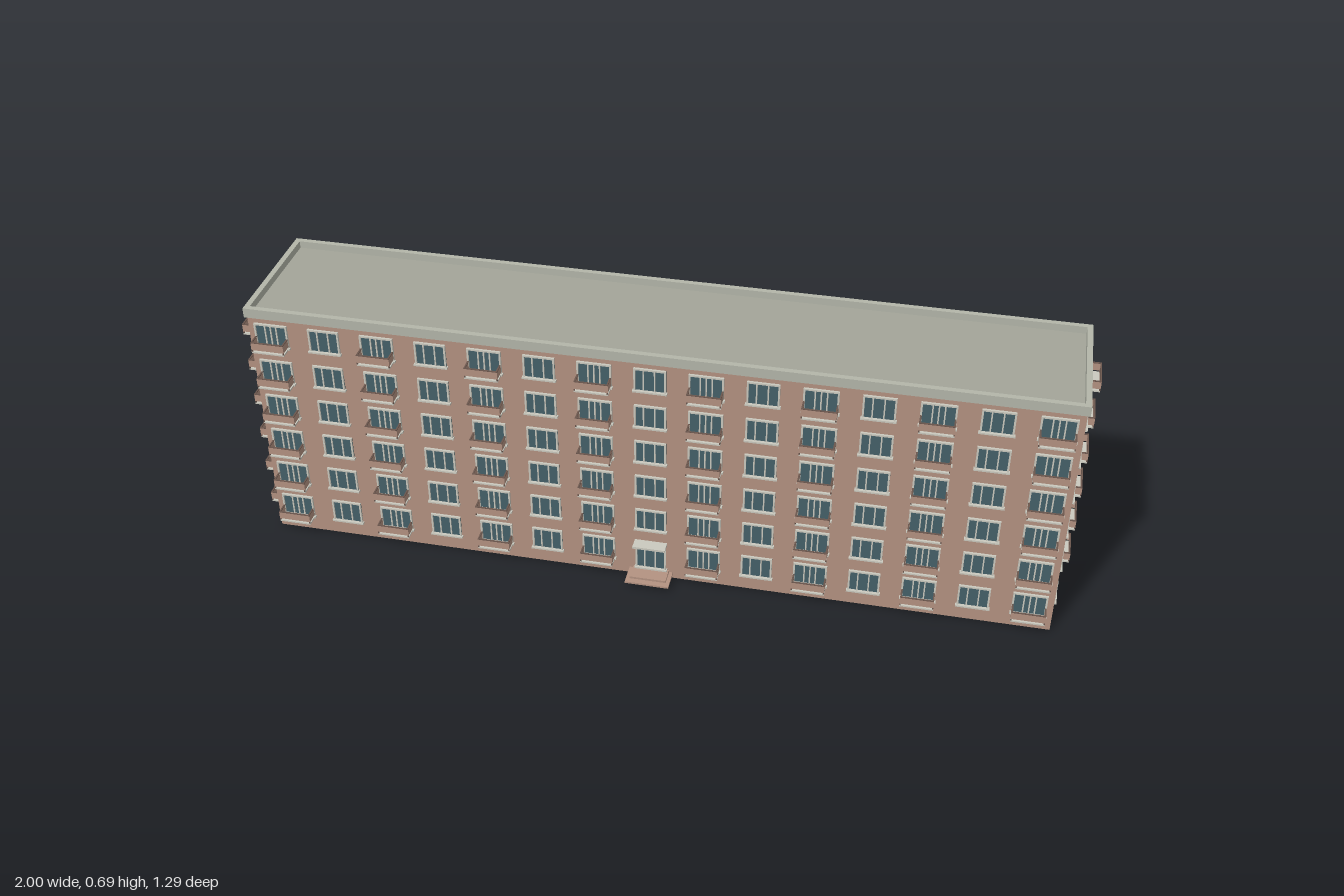
import * as THREE from 'three';
import { mergeGeometries } from 'three/addons/utils/BufferGeometryUtils.js';

const material = (name, color, side = THREE.FrontSide) => {
  const m = new THREE.MeshStandardMaterial({ color, side });
  m.name = name;
  return m;
};

// Main dimensions
const LENGTH = 2.05, DEPTH = 0.345, WALL_TOP = 0.667, TOP = 0.69;
const FLOORS = 6, STOREY = 0.1077, SILL = 0.043, PITCH = 0.138;
const WIN_W = 0.08, WIN_H = 0.067;

const box = (w, h, d, x = 0, y = 0, z = 0) =>
  new THREE.BoxGeometry(w, h, d).translate(x, y, z);

// Frame with mullions, resting on y = 0 with its back on z = 0
function frameGeometry(w, h, mullions) {
  const t = 0.0045, d = 0.006, z = d / 2;
  const parts = [
    box(w, t, d, 0, h - t / 2, z),
    box(w + 0.006, t, 0.01, 0, t / 2, 0.005),
    box(t, h, d, -w / 2 + t / 2, h / 2, z),
    box(t, h, d, w / 2 - t / 2, h / 2, z),
  ];
  for (const m of mullions) parts.push(box(0.0035, h, 0.005, m * w, h / 2, 0.0025));
  return mergeGeometries(parts);
}

export function createModel() {
  const brick = material('brick', 0xb39281, THREE.DoubleSide);
  const parapetGrey = material('parapet grey', 0xb3b6a9);
  const roofGrey = material('roof grey', 0xa3a499);
  const frameWhite = material('frame off-white', 0xcac9be, THREE.DoubleSide);
  const glassTeal = material('glass teal', 0x456069);
  const darkBrown = material('dark brown', 0x6b564d);

  const model = new THREE.Group();
  model.name = 'apartmentBlock';
  const building = new THREE.Group();
  building.name = 'building';
  building.rotation.y = THREE.MathUtils.degToRad(27);
  model.add(building);

  const add = (parent, name, geometry, mat, x = 0, y = 0, z = 0) => {
    const mesh = new THREE.Mesh(geometry, mat);
    mesh.name = name;
    mesh.position.set(x, y, z);
    parent.add(mesh);
    return mesh;
  };

  // Four outer walls, open underneath
  for (let i = 0; i < 4; i++) {
    const w = i % 2 ? DEPTH : LENGTH, off = (i % 2 ? LENGTH : DEPTH) / 2;
    const g = new THREE.PlaneGeometry(w, WALL_TOP)
      .translate(0, WALL_TOP / 2, off).rotateY(i * Math.PI / 2);
    add(building, 'wall', g, brick);
  }

  // Roof deck and the raised parapet around it
  add(building, 'roof', box(LENGTH, 0.004, DEPTH), roofGrey, 0, 0.669, 0);
  const PL = LENGTH + 0.012, PD = DEPTH + 0.012, PT = 0.014;
  const ph = TOP - 0.664, py = (TOP + 0.664) / 2;
  for (const s of [-1, 1]) {
    add(building, 'parapet', box(PL, ph, PT), parapetGrey, 0, py, s * (PD - PT) / 2);
    add(building, 'parapet', box(PT, ph, PD - 2 * PT), parapetGrey, s * (PL - PT) / 2, py, 0);
  }

  // Shared window geometry
  const plainFrame = frameGeometry(WIN_W, WIN_H, [-0.2, 0.15]);
  const balconyFrame = frameGeometry(WIN_W + 0.006, WIN_H, [-0.17, 0, 0.17]);
  const glass = box(WIN_W, WIN_H - 0.002, 0.002, 0, WIN_H / 2, 0.001);
  const lining = new THREE.PlaneGeometry(WIN_W, WIN_H).translate(0, WIN_H / 2, -0.002);

  // Shared balcony geometry: light slab, three panels and a dark handrail
  const BW = 0.085, BD = 0.038, PANEL = 0.02, T = 0.003;
  const threeSides = (h, y, t) => mergeGeometries([
    box(BW, h, t, 0, y, BD - t / 2),
    box(t, h, BD - t, -BW / 2 + t / 2, y, (BD - t) / 2),
    box(t, h, BD - t, BW / 2 - t / 2, y, (BD - t) / 2),
  ]);
  const slab = box(BW, 0.004, BD, 0, 0.002, BD / 2);
  const panels = threeSides(PANEL, 0.009 + PANEL / 2, T);
  const handrail = threeSides(0.002, 0.03, T + 0.001);
  const posts = mergeGeometries([-1, 1].map(s =>
    box(T, 0.006, T, s * (BW / 2 - T / 2), 0.0065, BD - T / 2)));

  const addWindow = (parent, x, y, withBalcony) => {
    const unit = new THREE.Group();
    unit.name = withBalcony ? 'balconyWindow' : 'window';
    unit.position.set(x, y, 0);
    parent.add(unit);
    add(unit, 'windowFrame', withBalcony ? balconyFrame : plainFrame, frameWhite);
    add(unit, 'windowGlass', glass, glassTeal);
    add(unit, 'windowLining', lining, frameWhite);
    if (!withBalcony) return;
    add(unit, 'balconySlab', slab, frameWhite);
    add(unit, 'balconyPanels', panels, brick);
    add(unit, 'balconyPosts', posts, darkBrown);
    add(unit, 'balconyHandrail', handrail, darkBrown);
  };

  // The opposite sides repeat each other by a half turn
  for (const turn of [0, Math.PI]) {
    const side = new THREE.Group();
    side.name = turn ? 'backSide' : 'frontSide';
    side.rotation.y = turn;
    building.add(side);

    const facade = new THREE.Group();
    facade.name = 'longFacade';
    facade.position.z = DEPTH / 2;
    side.add(facade);

    const gable = new THREE.Group();
    gable.name = 'endFacade';
    gable.position.x = LENGTH / 2;
    gable.rotation.y = Math.PI / 2;
    side.add(gable);

    for (let f = 0; f < FLOORS; f++) {
      const y = SILL + f * STOREY;
      for (let c = -7; c <= 7; c++) {
        if (turn === 0 && f === 0 && c === 0) continue; // entrance
        addWindow(facade, c * PITCH, y, c % 2 !== 0);
      }
      addWindow(gable, -0.08, y, false);
      addWindow(gable, 0.092, y, true);
    }

    // Entrance with glazed door, canopy and landing
    if (turn === 0) {
      const entrance = new THREE.Group();
      entrance.name = 'entrance';
      facade.add(entrance);
      const h = 0.08, y = 0.024;
      add(entrance, 'doorFrame', frameGeometry(WIN_W, h, [-0.2, 0.15]), frameWhite, 0, y, 0);
      add(entrance, 'doorGlass', box(WIN_W, h - 0.002, 0.002, 0, h / 2, 0.001), glassTeal, 0, y, 0);
      add(entrance, 'canopy', box(0.085, 0.006, 0.032), frameWhite, 0, 0.111, 0.016);
      add(entrance, 'landing', box(0.095, 0.006, 0.045), brick, 0, 0.021, 0.0225);
      add(entrance, 'step', box(0.115, 0.005, 0.06), brick, 0, 0.0155, 0.03);
    }
  }
  return model;
}
